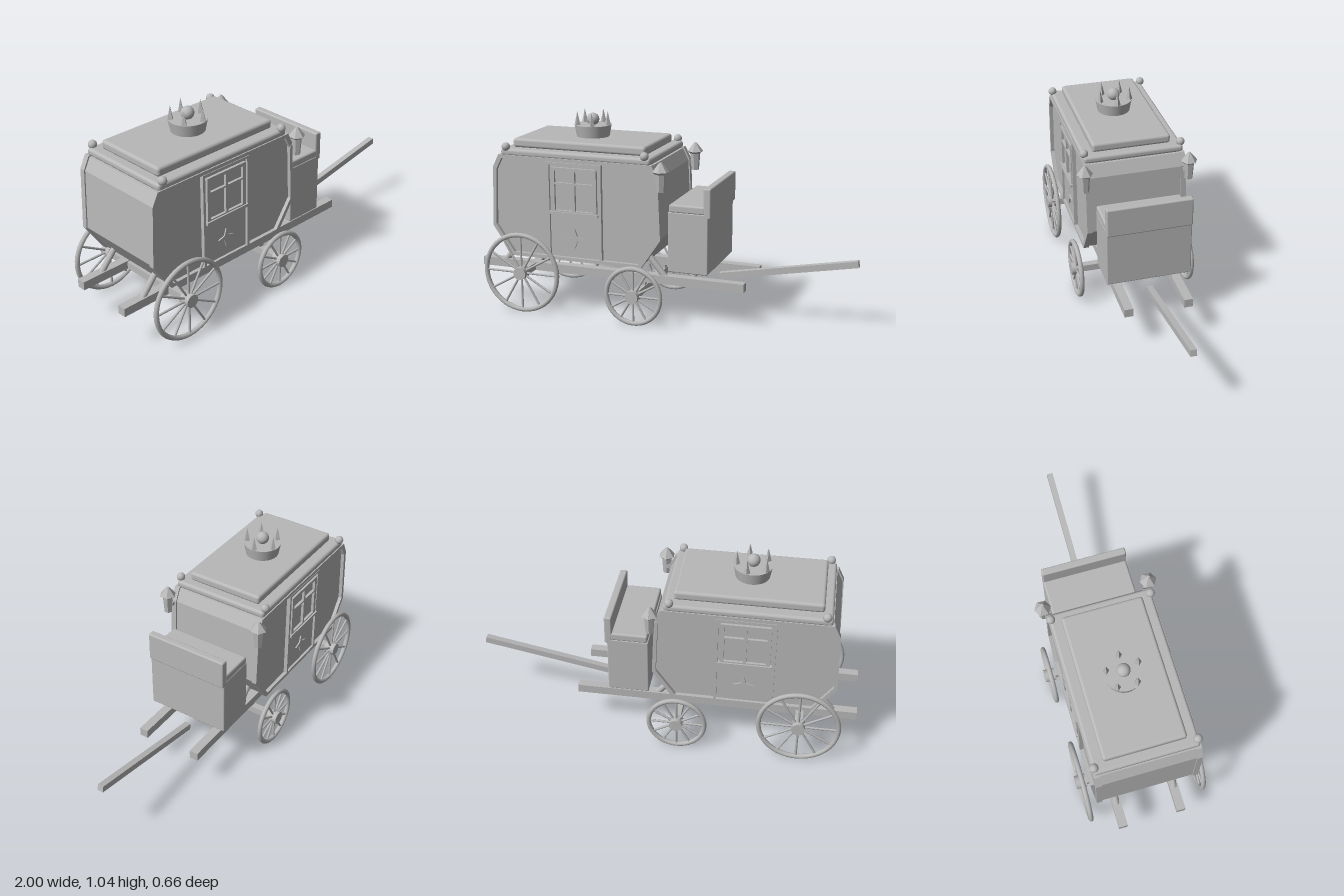
import * as THREE from 'three';
import { RoundedBoxGeometry } from 'three/addons/geometries/RoundedBoxGeometry.js';

const grey = new THREE.MeshStandardMaterial({ color: 0xb8b8b8 });
grey.name = 'plain grey';

const CX = -0.42; // middle of the cabin

export function createModel() {
  const root = new THREE.Group();
  root.name = 'carriage';

  const add = (name, geo, x = 0, y = 0, z = 0, parent = root) => {
    const m = new THREE.Mesh(geo, grey);
    m.name = name;
    m.position.set(x, y, z);
    parent.add(m);
    return m;
  };
  // box given by its limits
  const box = (name, x0, x1, y0, y1, z0, z1, r = 0, parent = root) => {
    const s = [x1 - x0, y1 - y0, z1 - z0];
    const geo = r ? new RoundedBoxGeometry(...s, 3, r) : new THREE.BoxGeometry(...s);
    return add(name, geo, (x0 + x1) / 2, (y0 + y1) / 2, (z0 + z1) / 2, parent);
  };
  const flat = (geo) => {
    const g = geo.toNonIndexed();
    g.computeVertexNormals();
    return g;
  };
  const extrude = (shape, depth) => new THREE.ExtrudeGeometry(shape, { depth, bevelEnabled: false });

  // cabin: side outline about its middle
  const half = [[0.36, 0.30], [0.465, 0.455], [0.452, 0.77], [0.42, 0.835]];
  const outline = [...half, ...half.map(([x, y]) => [-x, y]).reverse()];
  const points = (d) => outline.map(([x, y]) =>
    new THREE.Vector2(x * (1 - d / 0.45), 0.565 + (y - 0.565) * (1 - d / 0.265)));
  add('cabin', extrude(new THREE.Shape(points(0.006)), 0.49), CX, 0, -0.245);

  // details repeated on both sides
  for (const s of [1, -1]) {
    const side = new THREE.Group();
    side.name = s > 0 ? 'frontSide' : 'backSide';
    if (s < 0) side.rotation.y = Math.PI;
    side.position.x = CX;
    root.add(side);

    const trim = new THREE.Shape(points(0));
    trim.holes.push(new THREE.Path(points(0.018)));
    add('cabinTrim', extrude(trim, 0.029), 0, 0, 0.235, side);

    // door with posts and a four-pane window
    box('door', -0.14, 0.14, 0.32, 0.80, 0.24, 0.253, 0, side);
    for (const x of [-0.143, 0.143]) {
      box('doorPost', x - 0.007, x + 0.007, 0.315, 0.815, 0.24, 0.265, 0, side);
    }
    box('doorHead', -0.15, 0.15, 0.803, 0.815, 0.24, 0.265, 0, side);
    box('windowSill', -0.135, 0.135, 0.545, 0.56, 0.245, 0.275, 0, side);
    const frame = new THREE.Shape();
    frame.moveTo(-0.125, 0.56).lineTo(0.125, 0.56).lineTo(0.125, 0.79).lineTo(-0.125, 0.79).closePath();
    for (const [x0, x1] of [[-0.105, -0.007], [0.007, 0.105]]) {
      for (const [y0, y1] of [[0.567, 0.702], [0.712, 0.773]]) {
        const hole = new THREE.Path();
        hole.moveTo(x0, y0).lineTo(x0, y1).lineTo(x1, y1).lineTo(x1, y0).closePath();
        frame.holes.push(hole);
      }
    }
    add('windowFrame', extrude(frame, 0.017), 0, 0, 0.25, side);

    const star = new THREE.Shape(Array.from({ length: 8 }, (_, i) => {
      const r = i % 2 ? 0.018 : 0.05, a = i * Math.PI / 4;
      return new THREE.Vector2(r * Math.cos(a), r * Math.sin(a));
    }));
    add('doorStar', extrude(star, 0.008), 0, 0.42, 0.252, side);
  }

  // roof and corner balls
  box('lowerRoof', -0.83, -0.01, 0.828, 0.866, -0.26, 0.26, 0.015);
  box('upperRoof', -0.785, -0.055, 0.864, 0.912, -0.205, 0.205, 0.015);
  for (const x of [-0.80, -0.04]) {
    for (const z of [-0.253, 0.253]) {
      add('roofBall', new THREE.SphereGeometry(0.022, 16, 12), x, 0.876, z);
    }
  }

  // crown
  add('crownBand', new THREE.CylinderGeometry(0.097, 0.085, 0.063, 32), CX, 0.942, 0);
  add('crownBall', new THREE.SphereGeometry(0.033, 24, 16), CX, 1.0, 0);
  for (let i = 0; i < 5; i++) {
    const a = i * Math.PI * 2 / 5;
    add('crownSpike', flat(new THREE.ConeGeometry(0.018, 0.074, 4)),
      CX + 0.083 * Math.cos(a), 1.008, 0.083 * Math.sin(a));
  }

  // lanterns
  for (const z of [-0.272, 0.272]) {
    add('lanternBody', flat(new THREE.CylinderGeometry(0.028, 0.021, 0.095, 6)), 0.052, 0.757, z);
    add('lanternEave', flat(new THREE.CylinderGeometry(0.043, 0.028, 0.012, 6)), 0.052, 0.804, z);
    add('lanternCap', flat(new THREE.CylinderGeometry(0.007, 0.043, 0.046, 6)), 0.052, 0.833, z);
    box('lanternArm', 0.015, 0.05, 0.745, 0.765, z - 0.01 - Math.sign(z) * 0.015, z + 0.01 - Math.sign(z) * 0.015);
  }

  // driver's seat
  box('seatBox', 0.07, 0.28, 0.285, 0.598, -0.222, 0.222, 0.006);
  box('seatCushion', 0.075, 0.265, 0.594, 0.636, -0.222, 0.222, 0.01);
  box('seatBack', 0.255, 0.293, 0.575, 0.73, -0.222, 0.222, 0.008);

  // chassis rails and the struts that hold the cabin
  for (const z of [-0.155, 0.155]) {
    box('rail', -1, 0.455, 0.2, 0.245, z - 0.023, z + 0.023);
    for (const s of [-1, 1]) {
      const strut = add('strut', new THREE.CylinderGeometry(0.016, 0.016, 0.16, 12), CX + s * 0.42, 0.275, z);
      strut.rotation.z = -s * -0.7;
    }
  }

  // draw pole
  const pole = add('drawPole', new THREE.BoxGeometry(0.725, 0.033, 0.032), 0.638, 0.29, 0);
  pole.rotation.z = 0.188;

  // wheels and axles
  const tube = 0.0125;
  const wheel = (name, x, y, z, r) => {
    const w = new THREE.Group();
    w.name = name;
    w.position.set(x, y, z);
    root.add(w);
    add('rim', new THREE.TorusGeometry(r - tube, tube, 10, 48), 0, 0, 0, w);
    const hub = add('hub', new THREE.CylinderGeometry(0.034, 0.034, 0.056, 20), 0, 0, 0, w);
    hub.rotation.x = Math.PI / 2;
    const len = r - tube;
    for (let i = 0; i < 12; i++) {
      const a = i * Math.PI / 6;
      const spoke = add('spoke', new THREE.CylinderGeometry(0.006, 0.006, len, 8),
        -Math.sin(a) * len / 2, Math.cos(a) * len / 2, 0, w);
      spoke.rotation.z = a;
    }
  };
  for (const z of [-0.302, 0.302]) {
    wheel('rearWheel', -0.71, 0.222, z, 0.215);
    wheel('frontWheel', -0.087, 0.163, z, 0.157);
  }
  box('rearAxle', -0.73, -0.69, 0.202, 0.24, -0.3, 0.3);
  box('frontAxle', -0.105, -0.069, 0.145, 0.181, -0.3, 0.3);
  // blocks that carry the rails on the lower front axle
  for (const z of [-0.155, 0.155]) box('axleBlock', -0.102, -0.072, 0.175, 0.205, z - 0.015, z + 0.015);

  return root;
}
